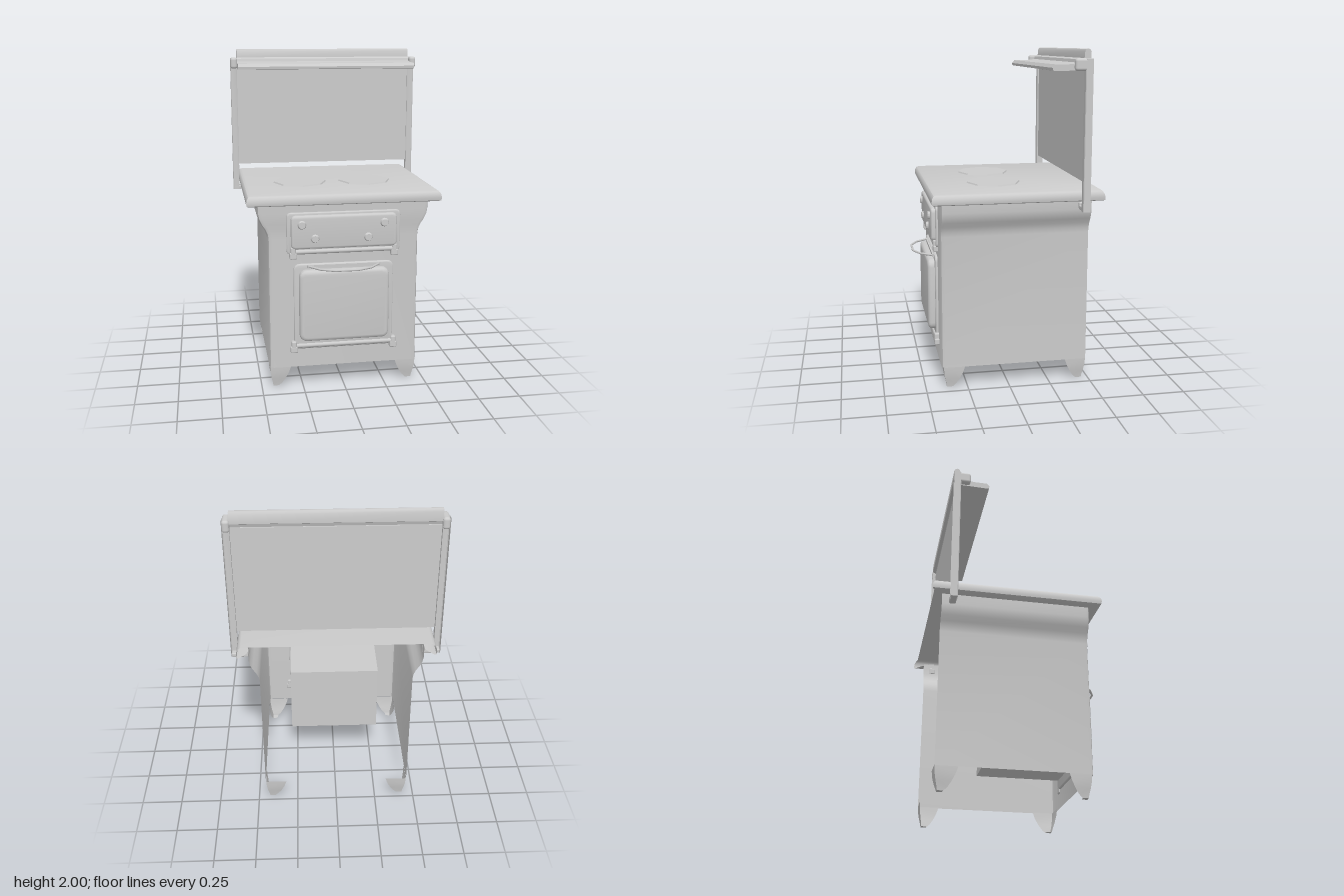
import * as THREE from 'three';
import { toCreasedNormals } from 'three/addons/utils/BufferGeometryUtils.js';
import { RoundedBoxGeometry } from 'three/addons/geometries/RoundedBoxGeometry.js';

const solid = new THREE.MeshStandardMaterial({ color: 0xcccccc });
const sheet = new THREE.MeshStandardMaterial({ color: 0xcccccc, side: THREE.DoubleSide });

function add(parent, name, geo, x = 0, y = 0, z = 0, mat = solid) {
  const mesh = new THREE.Mesh(geo, mat);
  mesh.name = name;
  mesh.position.set(x, y, z);
  parent.add(mesh);
  return mesh;
}

// Surface through rows of [x, y, z] points
function loft(rows, crease = 0.6) {
  const n = rows[0].length, index = [];
  for (let r = 0; r < rows.length - 1; r++) {
    for (let i = 0; i < n - 1; i++) {
      const a = r * n + i, b = a + 1, c = a + n, d = c + 1;
      index.push(a, b, d, a, d, c);
    }
  }
  const geo = new THREE.BufferGeometry();
  geo.setAttribute('position', new THREE.Float32BufferAttribute(rows.flat(2), 3));
  geo.setIndex(index);
  return toCreasedNormals(geo, crease);
}

// Rounded plate facing +z, from z = 0 to z = depth, with a bevelled rim
function plate(w, h, depth, bevel, r) {
  const x = w / 2 - bevel, y = h / 2 - bevel, s = new THREE.Shape();
  s.moveTo(-x + r, -y);
  s.lineTo(x - r, -y).quadraticCurveTo(x, -y, x, -y + r);
  s.lineTo(x, y - r).quadraticCurveTo(x, y, x - r, y);
  s.lineTo(-x + r, y).quadraticCurveTo(-x, y, -x, y - r);
  s.lineTo(-x, -y + r).quadraticCurveTo(-x, -y, -x + r, -y);
  const geo = new THREE.ExtrudeGeometry(s, {
    depth: depth - bevel, bevelSize: bevel, bevelThickness: bevel, bevelSegments: 3, curveSegments: 4,
  });
  return toCreasedNormals(geo, 0.6);
}

// Closed [z, y] profile extruded along x, centred
function alongX(points, width) {
  const s = new THREE.Shape(points.map(([z, y]) => new THREE.Vector2(-z, y)));
  const geo = new THREE.ExtrudeGeometry(s, { depth: width, bevelEnabled: false });
  geo.translate(0, 0, -width / 2).rotateY(Math.PI / 2);
  return toCreasedNormals(geo, 0.6);
}

export function createModel() {
  const stove = new THREE.Group();
  stove.name = 'stove';

  // Body shell: front and two sides flaring at the top, open at back and below
  const sides = [[0.13, 0.452], [0.93, 0.452], [0.96, 0.457], [0.99, 0.47], [1.02, 0.49], [1.05, 0.504], [1.08, 0.51], [1.15, 0.51]];
  const bodyRows = sides.map(([y, w]) => {
    const half = [[w, -0.48], [w, 0.38], [w - 0.007, 0.398], [w - 0.025, 0.405]];
    return [...half.map(([x, z]) => [-x, y, z]), ...half.reverse().map(([x, z]) => [x, y, z])];
  });
  add(stove, 'body', loft(bodyRows), 0, 0, 0, sheet);
  add(stove, 'ovenBox', new THREE.BoxGeometry(0.56, 0.44, 0.53), 0, 0.525, 0.13);

  // Countertop: flat sheet with a rim rolled over on three sides
  const rim = [[0.515, 1.14, -0.49], [0.56, 1.137, -0.535], [0.572, 1.143, -0.542], [0.575, 1.16, -0.542], [0.571, 1.18, -0.537], [0.562, 1.194, -0.528], [0.548, 1.2, -0.52]];
  const topRows = rim.map(([w, y, b]) => [[-w, y, b], [-w, y, w - 0.112], [w, y, w - 0.112], [w, y, b]]);
  const [w, y, b] = rim[rim.length - 1];
  topRows.push([[-w, y, b], [-w, y, b], [w, y, b], [w, y, b]]);
  add(stove, 'countertop', loft(topRows), 0, 0, 0, sheet);

  // Eight-sided hotplates
  for (const x of [-0.218, 0.188]) {
    add(stove, 'hotplate', toCreasedNormals(new THREE.CylinderGeometry(0.16, 0.168, 0.016, 8), 0.4), x, 1.2, 0.047);
  }

  // Corner legs: two tapering outer faces, open towards the inside
  const legLevels = [[0.135, 0.0, 0.13], [0.09, 0.003, 0.115], [0.05, 0.01, 0.095], [0.02, 0.017, 0.075], [0, 0.02, 0.055]];
  for (const sx of [-1, 1]) {
    for (const [sz, edge] of [[1, 0.393], [-1, 0.48]]) {
      const at = (x, yy, z) => [sx * (0.45 - x), yy, sz * (edge - z)];
      const rows = legLevels.map(([yy, o, i]) => [at(i, yy, o), at(o, yy, o), at(o, yy, i)]);
      rows.push([at(0.055, 0, 0.02), at(0.05, 0, 0.05), at(0.02, 0, 0.055)]);
      add(stove, 'leg', loft(rows), 0, 0, 0, sheet);
    }
  }

  // Control panel with four knobs
  const controls = new THREE.Group();
  controls.name = 'controlPanel';
  stove.add(controls);
  add(controls, 'controlFrame', plate(0.68, 0.25, 0.018, 0.008, 0.02), -0.003, 0.963, 0.4);
  add(controls, 'controlFace', plate(0.63, 0.2, 0.035, 0.014, 0.015), -0.003, 0.973, 0.408);
  for (const [x, ky] of [[-0.255, 1.02], [0.235, 1.02], [-0.178, 0.935], [0.138, 0.935]]) {
    const knob = new THREE.CylinderGeometry(0.02, 0.028, 0.018, 12);
    knob.rotateX(Math.PI / 2);
    add(controls, 'knob', toCreasedNormals(knob, 0.6), x, ky, 0.448);
  }

  // Oven door with raised panel
  const door = new THREE.Group();
  door.name = 'ovenDoor';
  stove.add(door);
  add(door, 'doorFrame', plate(0.6, 0.53, 0.02, 0.008, 0.03), -0.003, 0.512, 0.4);
  add(door, 'doorPanel', plate(0.54, 0.44, 0.05, 0.022, 0.025), -0.003, 0.525, 0.412);

  // Bow handle
  const path = new THREE.CurvePath();
  const bow = [[-0.22, 0.415], [-0.155, 0.495], [-0.075, 0.534], [0.07, 0.534], [0.15, 0.495], [0.215, 0.415]]
    .map(([x, z]) => new THREE.Vector3(x, 0.763, z));
  for (let i = 1; i < bow.length; i++) path.add(new THREE.LineCurve3(bow[i - 1], bow[i]));
  add(door, 'handle', new THREE.TubeGeometry(path, 40, 0.007, 6));
  add(door, 'handleBase', new THREE.BoxGeometry(0.44, 0.016, 0.02), -0.003, 0.763, 0.418);

  // Hinge rods and blocks below both fronts
  for (const [group, rodY] of [[controls, 0.852], [door, 0.268]]) {
    const rod = new THREE.CylinderGeometry(0.014, 0.014, 0.58, 10);
    rod.rotateZ(Math.PI / 2);
    add(group, 'hingeRod', rod, 0, rodY, 0.417);
    for (const x of [-0.305, 0.302]) {
      add(group, 'hingeBlock', new RoundedBoxGeometry(0.044, 0.04, 0.035, 2, 0.008), x, rodY - 0.022, 0.415);
      add(group, 'hingeCap', new RoundedBoxGeometry(0.03, 0.045, 0.035, 2, 0.008), x, rodY + 0.008, 0.415);
    }
  }

  // Splashback with its shelf and rolled top
  add(stove, 'splashback', new THREE.BoxGeometry(1.15, 0.65, 0.01), 0, 1.575, -0.415);
  add(stove, 'shelf', alongX([
    [-0.22, 1.895], [-0.222, 1.88], [-0.24, 1.877], [-0.36, 1.88], [-0.41, 1.88],
    [-0.41, 1.925], [-0.35, 1.918], [-0.31, 1.914], [-0.235, 1.914],
  ], 1.14));
  add(stove, 'topRoll', alongX([
    [-0.345, 1.89], [-0.345, 1.915], [-0.375, 1.922], [-0.38, 1.94], [-0.4, 1.948], [-0.403, 1.985], [-0.41, 1.997],
    [-0.42, 2], [-0.432, 1.997], [-0.44, 1.985], [-0.44, 1.93], [-0.42, 1.92], [-0.41, 1.89],
  ], 1.14));

  // Posts: channels open to the back, with a head and a foot bracket
  for (const s of [-1, 1]) {
    const outline = [[0.57, -0.442], [0.57, -0.404], [0.576, -0.4], [0.606, -0.4], [0.611, -0.404], [0.611, -0.442]];
    const rows = [1.08, 1.945].map((py) => outline.map(([x, z]) => [s * x, py, z]));
    add(stove, 'post', loft(rows), 0, 0, 0, sheet);
    add(stove, 'postHead', new RoundedBoxGeometry(0.042, 0.07, 0.103, 3, 0.016), s * 0.59, 1.913, -0.392);
    add(stove, 'postFoot', new RoundedBoxGeometry(0.1, 0.028, 0.04, 2, 0.008), s * 0.56, 1.094, -0.42);
    add(stove, 'postFootLip', new RoundedBoxGeometry(0.02, 0.042, 0.04, 2, 0.008), s * 0.517, 1.103, -0.42);
  }
  return stove;
}
